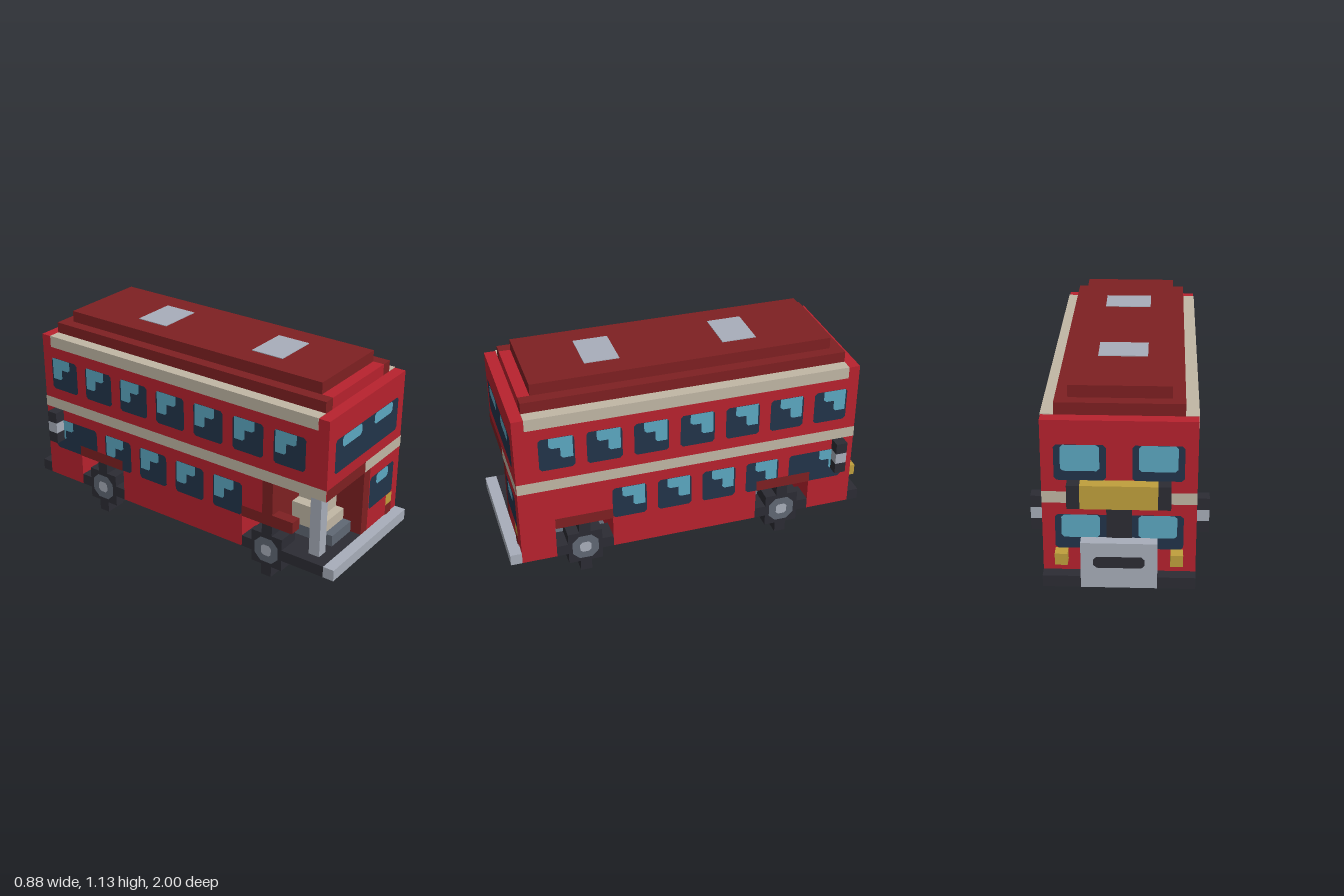
import * as THREE from 'three';

const paint = (name, color) => {
  const m = new THREE.MeshStandardMaterial({ color });
  m.name = name;
  return m;
};

export function createModel() {
  const red = paint('red', 0xb8222e), maroon = paint('dark red', 0x7e2022);
  const cream = paint('cream', 0xc1b7a5), navy = paint('dark glass', 0x22344a);
  const sky = paint('glass reflection', 0x5ca8c2), black = paint('rubber black', 0x2c2c34);
  const silver = paint('silver', 0xa8aeba), grey = paint('grey', 0x606874), gold = paint('gold', 0xc0a03c);
  const U = 0.0625, bus = new THREE.Group();
  bus.name = 'doubleDeckerBus';

  // Block given by its limits in block units
  const block = (name, mat, x0, x1, y0, y1, z0, z1, parent = bus) => {
    const m = new THREE.Mesh(new THREE.BoxGeometry((x1 - x0) * U, (y1 - y0) * U, (z1 - z0) * U), mat);
    m.position.set((x0 + x1) * U / 2, (y0 + y1) * U / 2, (z0 + z1) * U / 2);
    m.name = name;
    parent.add(m);
    return m;
  };
  // Flat painted panels, on a wall frame that looks outward along its own z
  const wall = (name, angle, dist) => {
    const g = new THREE.Group(), inner = new THREE.Group();
    g.name = name;
    g.rotation.y = angle;
    inner.position.z = dist * U;
    g.add(inner);
    bus.add(g);
    return inner;
  };
  const panel = (parent, name, mat, pts, layer = 1) => {
    const shape = new THREE.Shape(pts.map(([u, v]) => new THREE.Vector2(u * U, v * U)));
    const m = new THREE.Mesh(new THREE.ShapeGeometry(shape), mat);
    m.position.z = 0.001 + layer * 0.002;
    m.name = name;
    parent.add(m);
    return m;
  };
  const rect = (u0, u1, v0, v1, c = 0.22) => c === 0
    ? [[u0, v0], [u1, v0], [u1, v1], [u0, v1]]
    : [[u0 + c, v0], [u1 - c, v0], [u1, v0 + c], [u1, v1 - c], [u1 - c, v1], [u0 + c, v1], [u0, v1 - c], [u0, v0 + c]];

  // Upper deck and lower deck with the wheel arches cut right through
  block('upperDeck', red, -6, 6, 9, 16, -15, 15);
  const profile = [[-15, 2], [-11, 2], [-11, 5], [-6, 5], [-6, 2], [7, 2], [7, 5], [9, 5], [9, 9], [-15, 9]];
  const lower = new THREE.ExtrudeGeometry(
    new THREE.Shape(profile.map(([z, y]) => new THREE.Vector2(-z * U, y * U))), { depth: 12 * U, bevelEnabled: false });
  lower.translate(0, 0, -6 * U).rotateY(Math.PI / 2);
  const lowerDeck = new THREE.Mesh(lower, red);
  lowerDeck.name = 'lowerDeck';
  bus.add(lowerDeck);
  block('cornerUpper', red, 1, 6, 5, 9, 9, 15);
  block('cornerLower', red, 1, 6, 2, 5, 12, 15);
  block('chassis', grey, -4, 4, 1, 2, -13, 13);

  // Roof layers, trims and hatches
  block('roofLower', maroon, -5, 5, 16, 17, -14, 13);
  block('roofFrontRed', red, -4, 4, 16, 17, 13, 14);
  for (const s of [-1, 1]) block('roofFrontCorner', maroon, Math.min(s * 4, s * 5), Math.max(s * 4, s * 5), 16, 17, 13, 14);
  block('roofUpper', maroon, -4, 4, 17, 18, -13, 13);
  for (const z of [-7, 5]) block('roofHatch', silver, -2, 2, 18, 18.06, z, z + 3);
  for (const s of [-1, 1]) {
    const a = s > 0 ? 5 : -6.05;
    block('gutter', cream, a, a + 1.05, 15, 16.05, -14, 14);
  }

  // Open boarding platform with pole, divider and stairs
  block('platformFloor', black, -6, 1, 2, 3, 9, 15);
  block('platformDivider', maroon, 0, 1, 3, 9, 9, 15);
  block('platformWallLow', maroon, -4, 0, 3, 5, 9, 10);
  block('platformWall', maroon, -6, 0, 5, 9, 9, 10);
  block('archRail', maroon, -6, -5, 5, 6, 10, 12);
  block('platformCeiling', maroon, -5.9, 0, 8.94, 9, 10, 15);
  block('pole', silver, -5, -4, 3, 9, 13, 14);
  block('platformBumper', silver, -6, 6, 2, 3, 15, 16);
  for (let i = 0; i < 5; i++)
    block('stair', i ? cream : grey, i < 3 ? -3 : -2, 0, 3 + i, 4 + i, 10, 14 - i * 0.75);

  // Side walls: bands, windows and arch trims
  for (const s of [-1, 1]) {
    const side = wall(s > 0 ? 'leftSide' : 'rightSide', s * Math.PI / 2, 6);
    const u = z => -s * z;
    const span = (z0, z1, v0, v1, c) => rect(Math.min(u(z0), u(z1)), Math.max(u(z0), u(z1)), v0, v1, c);
    const glass = (z0, z1, v0) => {
      panel(side, 'window', navy, span(z0, z1, v0, v0 + 3));
      // Stepped reflection in the upper corner
      const pts = [[z1 - 2.15, 3], [z1 - 2.15, 2.2], [z1 - 1.9, 2], [z1 - 1.2, 2], [z1 - 1.2, 1.2], [z1 - 1, 1], [z1 - 0.15, 1], [z1 - 0.15, 3]];
      const m = pts.map(([z, v]) => [u(z0 + z1 - z), v0 + v]);
      panel(side, 'windowReflection', sky, m, 2);
    };
    panel(side, 'waistBand', cream, span(-15, 15, 9, 10, 0));
    for (let i = 0; i < 7; i++) glass(-14 + i * 4, -11 + i * 4, 11);
    for (let i = 0; i < 4; i++) glass(4 - i * 4, 7 - i * 4, 5);
    glass(-14, -9, 5);
    panel(side, 'wheelArchTrim', maroon, span(-11, -6, 5, 6, 0), 3);
    panel(side, 'wheelArchTrim', maroon, span(7, 12, 5, 6, 0), 3);

    // Side mirrors
    const x = s > 0 ? 6 : -7;
    [black, silver, black].forEach((m, i) => block('mirror', m, x, x + 1, 6 + i, 7 + i, -14, -13));

    // Stepped wheels with hubs
    for (const z of [9.5, -8.5]) {
      const wheel = new THREE.Group();
      wheel.name = 'wheel';
      wheel.position.set(s * 5 * U, 2.5 * U, z * U);
      wheel.rotation.y = s * Math.PI / 2;
      for (const [w, h] of [[1, 5], [3, 3], [5, 1]])
        block('tyre', black, -w / 2, w / 2, -h / 2, h / 2, -1, 1, wheel);
      const face = new THREE.Group();
      face.position.z = U;
      wheel.add(face);
      panel(face, 'hub', grey, rect(-1.15, 1.15, -1.15, 1.15, 0.6), 1);
      panel(face, 'hubCap', silver, rect(-0.5, 0.5, -0.5, 0.5, 0.22), 2);
      bus.add(wheel);
    }
  }

  // Platform end: windows, band and lamps
  const front = wall('frontFace', 0, 15);
  panel(front, 'upperWindow', navy, rect(-5, 5, 11, 14));
  panel(front, 'waistBand', cream, rect(0, 6, 9, 10, 0));
  panel(front, 'platformHeader', maroon, rect(-6, 0, 9, 10, 0));
  for (const u of [-4, 1]) panel(front, 'windowReflection', sky, rect(u, u + 3, 13, 14), 2);
  panel(front, 'lowerWindow', navy, rect(1, 5, 5, 8));
  panel(front, 'windowReflection', sky, rect(2, 4, 7, 8), 2);
  panel(front, 'amberLamp', gold, rect(4, 5, 4, 5, 0), 2);
  panel(front, 'redLamp', maroon, rect(4, 5, 3, 4, 0), 2);

  // Driver end: windows, sign, radiator and headlights
  const back = wall('backFace', Math.PI, 15);
  panel(back, 'waistBand', cream, rect(-6, 6, 9, 10, 0));
  panel(back, 'windscreen', navy, rect(-5, 5, 5, 8));
  panel(back, 'windscreenPost', black, rect(-1, 1, 5, 9, 0), 3);
  for (const s of [-1, 1]) {
    const mid = s * 3;
    panel(back, 'upperWindow', navy, rect(mid - 2, mid + 2, 11, 14));
    panel(back, 'windowReflection', sky, rect(mid - 1.5, mid + 1.5, 11.8, 14), 2);
    panel(back, 'windscreenReflection', sky, rect(mid - 1.5, mid + 1.5, 6, 8), 2);
    const at = (a, b) => [Math.min(s * a, s * b), Math.max(s * a, s * b)];
    block('signEnd', black, ...at(3, 4), 9, 11, -16, -15);
    block('headlight', gold, ...at(4, 5), 4, 5, -16, -15);
    block('bumper', black, ...at(3, 6), 2, 3, -16, -15);
  }
  block('signBoard', gold, -3, 3, 9, 11, -16, -15);
  block('radiator', silver, -3, 3, 2, 6, -16, -15);
  const grille = wall('grille', Math.PI, 16);
  panel(grille, 'grilleSlot', black, rect(-2, 2, 3.8, 4.8, 0.25), 0);
  return bus;
}
